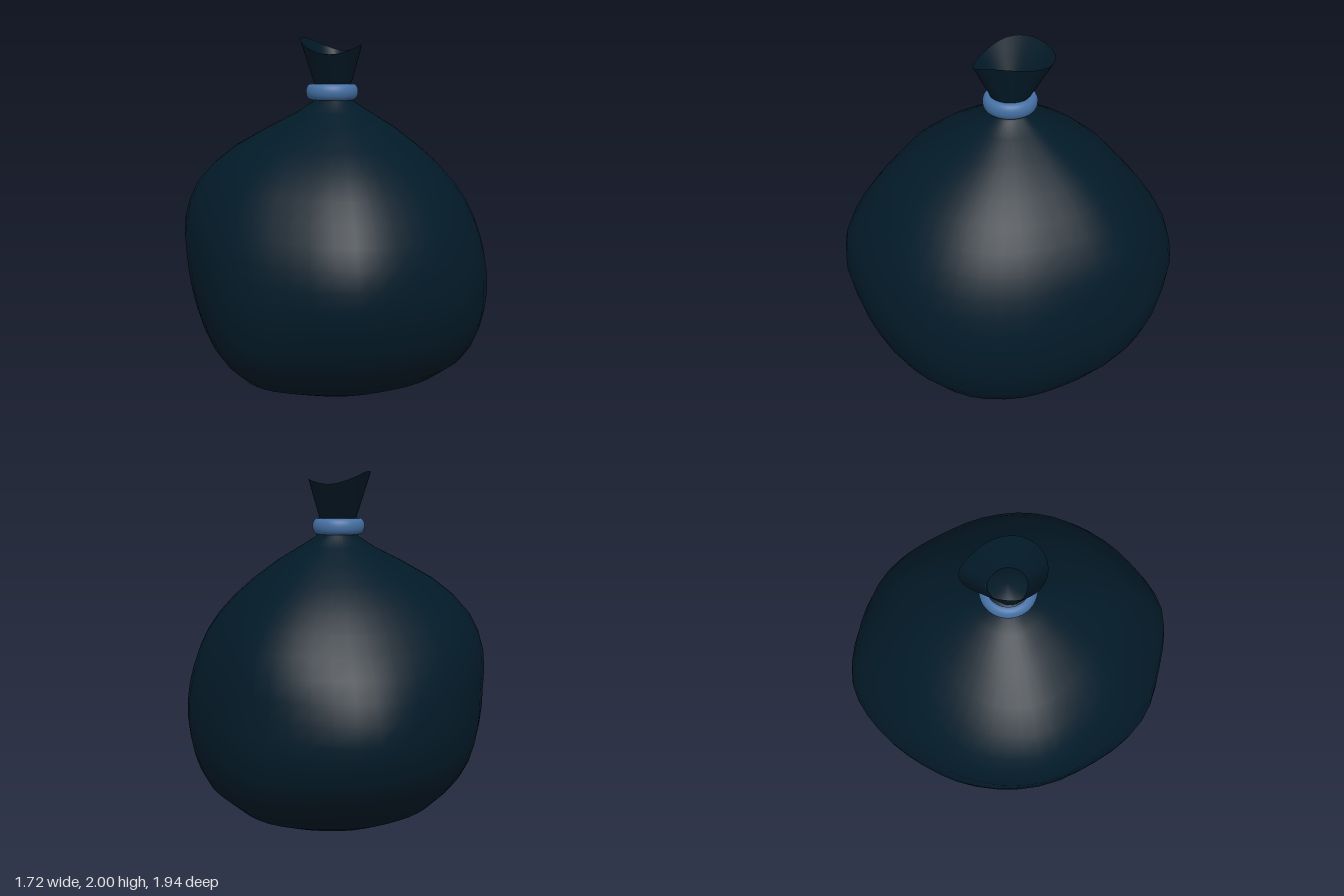
import * as THREE from 'three';

const SEGMENTS = 48;

// Smooth closed loft: each ring is a function of the angle giving [x, y, z]
function loft(rings) {
  const pos = [], idx = [];
  rings.forEach((ring, i) => {
    for (let j = 0; j < SEGMENTS; j++) {
      pos.push(...ring((j / SEGMENTS) * Math.PI * 2));
      if (i === rings.length - 1) continue;
      const k = (j + 1) % SEGMENTS;
      const a = i * SEGMENTS + j, b = i * SEGMENTS + k;
      idx.push(a, a + SEGMENTS, b, b, a + SEGMENTS, b + SEGMENTS);
    }
  });
  const g = new THREE.BufferGeometry();
  g.setAttribute('position', new THREE.Float32BufferAttribute(pos, 3));
  g.setIndex(idx);
  g.computeVertexNormals();
  return g;
}

// Uneven oval with a separate reach to each side
function oval(t, px, nx, pz, nz, scale) {
  const c = Math.cos(t), s = Math.sin(t);
  return [c * (c > 0 ? px : nx) * scale, s * (s > 0 ? pz : nz) * scale];
}

// Value per quadrant that fades to nothing on the axes
const onDiagonal = (t, values) =>
  values[Math.floor(t / (Math.PI / 2)) % 4] * Math.sin(2 * t) ** 2;

// Lumpy outline seen from above, from +x round through +z
const LUMPS = new THREE.CatmullRomCurve3(
  [1, 1.02, 0.995, 0.98, 1, 0.965, 0.985, 0.98, 1, 0.97, 0.933, 0.955, 1, 0.98, 0.973, 0.957]
    .map((r) => new THREE.Vector3(r, 0, 0)), true, 'catmullrom');

// Sack rows: height, then reach to +x, -x, +z, -z
const BODY = [
  [0, 0.001, 0.001, 0.001, 0.001],
  [0.008, 0.22, 0.22, 0.2, 0.22],
  [0.025, 0.36, 0.35, 0.34, 0.34],
  [0.06, 0.5, 0.46, 0.46, 0.45],
  [0.13, 0.65, 0.605, 0.61, 0.59],
  [0.22, 0.75, 0.685, 0.73, 0.69],
  [0.31, 0.797, 0.74, 0.82, 0.785],
  [0.4, 0.828, 0.778, 0.88, 0.87],
  [0.5, 0.847, 0.808, 0.928, 0.925],
  [0.6, 0.857, 0.83, 0.955, 0.952],
  [0.7, 0.855, 0.845, 0.974, 0.965],
  [0.8, 0.84, 0.855, 0.97, 0.945],
  [0.9, 0.815, 0.86, 0.95, 0.91],
  [1.0, 0.78, 0.852, 0.905, 0.855],
  [1.1, 0.733, 0.825, 0.84, 0.78],
  [1.2, 0.665, 0.775, 0.76, 0.695],
  [1.3, 0.575, 0.685, 0.67, 0.605],
  [1.4, 0.465, 0.555, 0.53, 0.485],
  [1.5, 0.335, 0.375, 0.36, 0.335],
  [1.58, 0.205, 0.215, 0.22, 0.205],
  [1.64, 0.112, 0.122, 0.12, 0.112],
  [1.68, 0.108, 0.124, 0.114, 0.114],
  [1.73, 0.108, 0.124, 0.114, 0.114],
  [1.735, 0.001, 0.001, 0.001, 0.001],
];

export function createModel() {
  const sackMat = new THREE.MeshStandardMaterial({ color: 0x021a28, side: THREE.DoubleSide });
  sackMat.name = 'dark sack';
  const tieMat = new THREE.MeshStandardMaterial({ color: 0x4570a4 });
  tieMat.name = 'blue tie';

  const group = new THREE.Group();
  const add = (name, geometry, material) => {
    const mesh = new THREE.Mesh(geometry, material);
    mesh.name = name;
    group.add(mesh);
    return mesh;
  };

  // Bulging sack, squarer towards the bottom and fuller at the upper back
  add('sack', loft(BODY.map(([y, px, nx, pz, nz]) => (t) => {
    const low = THREE.MathUtils.clamp((0.8 - y) / 0.5, 0, 1);
    const high = THREE.MathUtils.smoothstep(y, 0.75, 1.15);
    const scale = LUMPS.getPoint(t / (Math.PI * 2)).x
      + low * onDiagonal(t, [0.03, 0.075, 0.05, 0.04])
      + high * onDiagonal(t, [0, -0.035, 0.045, 0.055]);
    const [x, z] = oval(t, px, nx, pz, nz, scale);
    return [x, y, z];
  })), sackMat);

  // Flared open mouth with a wavy rim, highest at the back on the -x side
  const rimHeight = (t) => 1.945 - 0.014 * Math.cos(t) - 0.02 * Math.sin(t)
    + 0.02 * Math.cos(2 * t) + 0.022 * Math.sin(2 * t);
  const mouth = [];
  for (let i = 0; i <= 6; i++) {
    const u = i / 6;
    mouth.push((t) => {
      const scale = 1 - onDiagonal(t, [0, 0.03, 0.06, 0.06]);
      const [x, z] = oval(t, 0.085 + 0.07 * u, 0.1 + 0.09 * u,
        0.085 + 0.11 * u, 0.085 + 0.15 * u, scale);
      return [x, 1.7 + (rimHeight(t) - 1.7) * u, z];
    });
  }
  add('mouth', loft(mouth), sackMat);

  // Rounded tie around the neck
  const profile = new THREE.Shape();
  profile.moveTo(0.11, -0.045);
  profile.lineTo(0.115, -0.045);
  profile.bezierCurveTo(0.159, -0.045, 0.159, 0.045, 0.115, 0.045);
  profile.lineTo(0.11, 0.045);
  const tie = add('tie', new THREE.LatheGeometry(profile.getPoints(12), 40), tieMat);
  tie.position.set(-0.012, 1.695, 0);
  return group;
}
